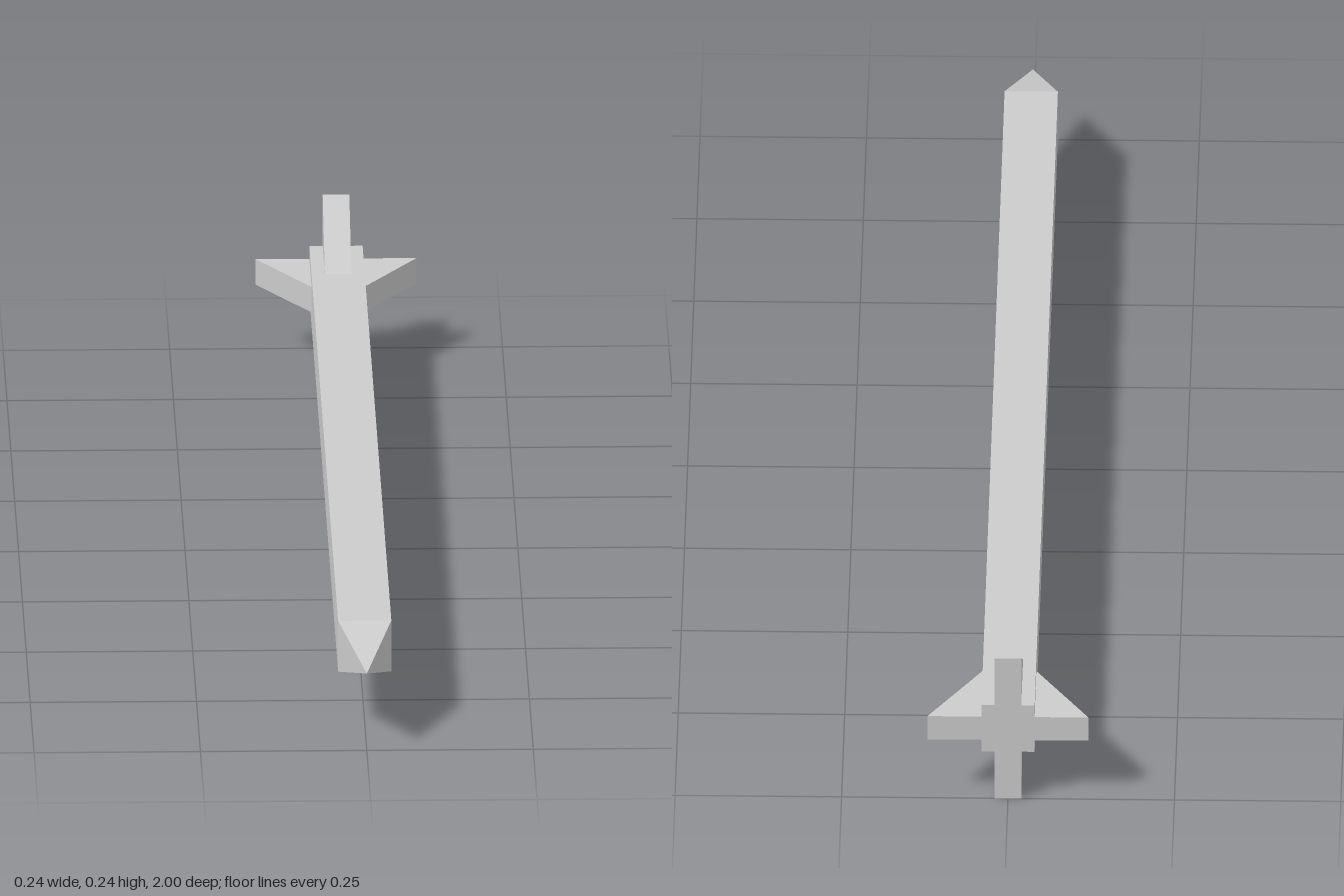
import * as THREE from 'three';

export function createModel() {
  const model = new THREE.Group();
  const material = new THREE.MeshStandardMaterial({ color: 0xcccccc, flatShading: true });
  const half = 0.04;      // half width of the square shaft
  const finReach = 0.121; // fin tip distance from the axis
  const tipBase = 0.863;  // z where the point begins

  const add = (name, geometry) => {
    const mesh = new THREE.Mesh(geometry, material);
    mesh.name = name;
    mesh.position.y = finReach;
    model.add(mesh);
    return mesh;
  };

  // Square shaft running from the tail to the base of the point
  const length = tipBase + 1;
  add('shaft', new THREE.BoxGeometry(half * 2, half * 2, length).translate(0, 0, tipBase - length / 2));

  // Four-sided pyramid point
  const tipLength = 1 - tipBase;
  const tip = new THREE.ConeGeometry(half * Math.SQRT2, tipLength, 4, 1, true);
  tip.rotateY(Math.PI / 4).rotateX(Math.PI / 2).translate(0, 0, tipBase + tipLength / 2);
  add('point', tip);

  // Wedge fin: x is the distance from the axis, y becomes z
  const profile = new THREE.Shape([
    new THREE.Vector2(half - 0.01, -1),
    new THREE.Vector2(finReach, -1),
    new THREE.Vector2(half, -0.86),
    new THREE.Vector2(half - 0.01, -0.86),
  ]);
  const fin = new THREE.ExtrudeGeometry(profile, { depth: half, bevelEnabled: false });
  fin.translate(0, 0, -half / 2).rotateX(Math.PI / 2);
  ['leftFin', 'topFin', 'rightFin', 'bottomFin'].forEach((name, i) => {
    add(name, fin).rotation.z = i * Math.PI / 2;
  });

  return model;
}
